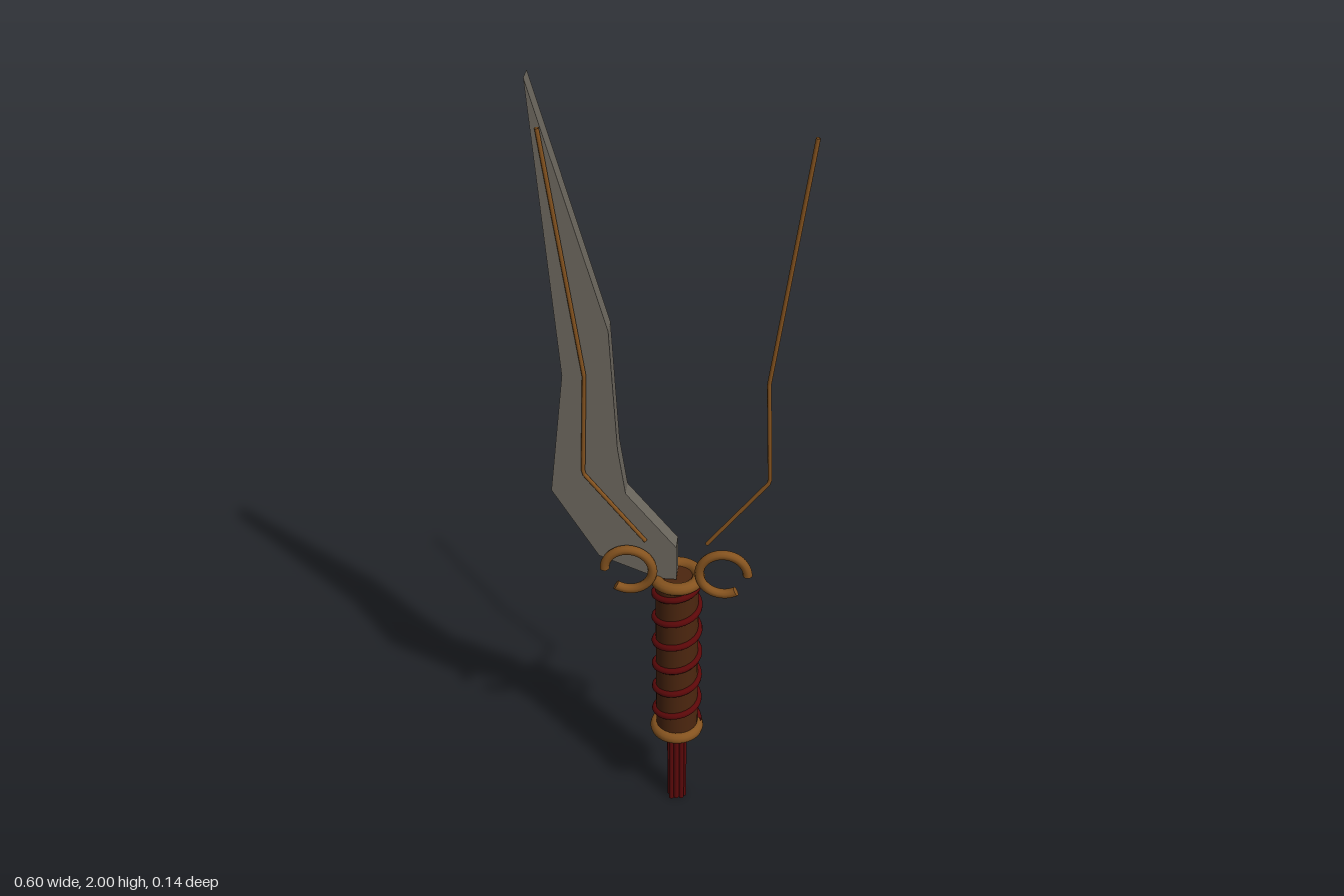
import * as THREE from 'three';

const mat = (name, color, side = THREE.FrontSide) => {
  const m = new THREE.MeshStandardMaterial({ color, side });
  m.name = name;
  return m;
};

export function createModel() {
  const group = new THREE.Group();
  const steel = mat('dull steel', 0x6b665d);
  const bronze = mat('bronze', 0x85531f, THREE.DoubleSide);
  const leather = mat('brown leather', 0x4c260f);
  const cord = mat('dark red cord', 0x5c0809, THREE.DoubleSide);
  const CX = 0.006; // handle axis

  const add = (name, geometry, material, x = 0, y = 0, z = 0) => {
    const mesh = new THREE.Mesh(geometry, material);
    mesh.name = name;
    mesh.position.set(x, y, z);
    group.add(mesh);
    return mesh;
  };

  // Bent flat blade
  const outline = [
    [-0.035, 0.74], [0.006, 0.74], [0.006, 0.835], [-0.113, 0.985], [-0.13, 1.11],
    [-0.145, 1.42], [-0.305, 2.0], [-0.252, 1.3], [-0.288, 0.985], [-0.18, 0.8],
  ].map(([x, y]) => new THREE.Vector2(x, y));
  add('blade', new THREE.ExtrudeGeometry(new THREE.Shape(outline), { depth: 0.044, bevelEnabled: false }),
    steel, 0, 0, -0.022);

  // Mirrored inlay wires and curled guards
  for (const s of [1, -1]) {
    const side = s > 0 ? 'left' : 'right';
    const path = new THREE.CurvePath();
    const pts = [[0.073, 0.855], [0.217, 1.042], [0.207, 1.305], [0.288, 1.895]]
      .map(([x, y]) => new THREE.Vector3(CX + s * x, y, 0.027));
    for (let i = 0; i < 3; i++) path.add(new THREE.LineCurve3(pts[i], pts[i + 1]));
    add(side + 'Wire', new THREE.TubeGeometry(path, 90, 0.005, 8, false), bronze);

    const arc = Math.PI * 1.68;
    const curl = add(side + 'GuardCurl', new THREE.TorusGeometry(0.058, 0.0115, 10, 40, arc),
      bronze, CX + s * 0.114, 0.772, 0.034);
    if (s < 0) curl.rotation.y = Math.PI;
    // Flat ends of the curl
    for (const a of [0, arc]) {
      const cap = new THREE.Mesh(new THREE.CircleGeometry(0.0115, 10), bronze);
      cap.name = 'curlEnd';
      cap.position.set(Math.cos(a) * 0.058, Math.sin(a) * 0.058, 0);
      cap.rotation.set(Math.PI / 2, a, 0, 'ZXY');
      cap.rotation.set(Math.PI / 2, 0, a, 'ZXY');
      curl.add(cap);
    }
  }

  // Grip with collars at both ends
  add('grip', new THREE.CylinderGeometry(0.053, 0.053, 0.49, 24), leather, CX, 0.49, 0);
  for (const [name, y] of [['upperCollar', 0.733], ['lowerCollar', 0.251]]) {
    add(name, new THREE.TorusGeometry(0.0525, 0.0155, 12, 36), bronze, CX, y, 0).rotation.x = Math.PI / 2;
  }

  // Cord wound around the grip
  const turns = 6;
  const helix = new THREE.Curve();
  helix.getPoint = (t, target = new THREE.Vector3()) => {
    const a = t * turns * Math.PI * 2;
    return target.set(CX + 0.055 * Math.cos(a), 0.27 + 0.45 * t, -0.055 * Math.sin(a));
  };
  add('gripWrap', new THREE.TubeGeometry(helix, 192, 0.0085, 8, false), cord);

  // Hanging tassel strands
  const strand = (i, x, z) => {
    const bottom = (i % 3) * 0.004;
    add('tasselStrand', new THREE.CylinderGeometry(0.007, 0.007, 0.23 - bottom, 8),
      cord, CX + x, (0.23 + bottom) / 2, z);
  };
  strand(0, 0, 0);
  for (let i = 0; i < 8; i++) {
    const a = (i / 8) * Math.PI * 2;
    strand(i, 0.018 * Math.cos(a), 0.018 * Math.sin(a));
  }
  return group;
}
